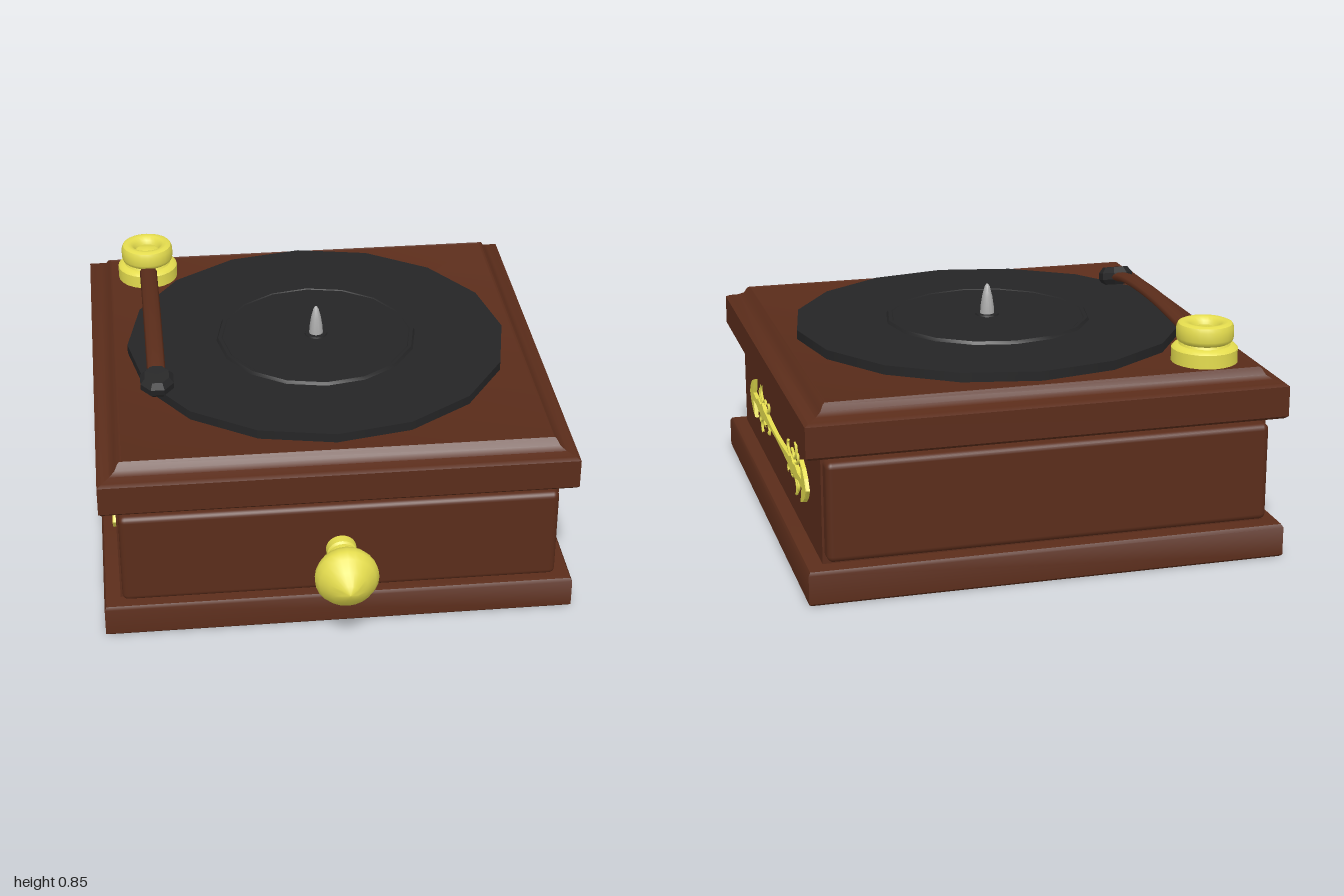
import * as THREE from 'three';
import { toCreasedNormals } from 'three/addons/utils/BufferGeometryUtils.js';
import { RoundedBoxGeometry } from 'three/addons/geometries/RoundedBoxGeometry.js';

const ZC = -0.145; // centre of the cabinet in z

const material = (color) => new THREE.MeshStandardMaterial({ color });
const wood = material(0x5a2c1a);
const brass = material(0xe4dc4e);
const vinyl = material(0x252526);
const steel = material(0xaaaaaa);

const vec2 = (list) => list.map(([x, y]) => new THREE.Vector2(x, y));
const vec3 = (list) => list.map((p) => new THREE.Vector3(...p));

function add(parent, name, geometry, mat, x = 0, y = 0, z = 0) {
  const mesh = new THREE.Mesh(geometry, mat);
  mesh.name = name;
  mesh.position.set(x, y, z);
  parent.add(mesh);
  return mesh;
}

// Turned part, with hard edges where the profile bends sharply
function turned(profile, sides = 24, crease = 0.7) {
  return toCreasedNormals(new THREE.LatheGeometry(vec2(profile), sides), crease);
}

// Square moulding: the profile is [half width, height], from bottom to top
function moulding(profile) {
  const points = vec2(profile.map(([w, y]) => [w * Math.SQRT2, y]));
  return toCreasedNormals(new THREE.LatheGeometry(points, 4).rotateY(Math.PI / 4), 0.6);
}

// Flat double-headed arrow with curled tendrils, lying in the xy plane
function makeOrnament() {
  const group = new THREE.Group();
  group.name = 'sideOrnament';
  const quarter = [[0, 0.006], [0.12, 0.009], [0.2, 0.015], [0.27, 0.019], [0.31, 0.034],
    [0.345, 0.018], [0.39, 0.024], [0.44, 0.012], [0.51, 0.015], [0.5, 0.04],
    [0.485, 0.077], [0.53, 0.06], [0.565, 0.035]];
  const right = [...quarter, [0.592, 0], ...quarter.slice(1).reverse().map(([u, v]) => [u, -v])];
  const left = right.map(([u, v]) => [-u, -v]);
  const shape = new THREE.Shape(vec2([...right, ...left]));
  const plate = new THREE.ExtrudeGeometry(shape, {
    depth: 0.014, bevelEnabled: true, bevelSize: 0.002, bevelThickness: 0.004, bevelSegments: 1,
  });
  add(group, 'arrowPlate', plate.translate(0, 0, -0.007), brass);

  const tendrils = [
    [[0.27, 0.015], [0.225, 0.02], [0.2, 0.04], [0.205, 0.058], [0.222, 0.055]],
    [[0.29, 0.02], [0.34, 0.035], [0.37, 0.06], [0.368, 0.085], [0.35, 0.097]],
    [[0.34, 0.015], [0.385, 0.03], [0.405, 0.05], [0.395, 0.066], [0.378, 0.06]],
    [[0.33, 0.02], [0.305, 0.045], [0.28, 0.05], [0.265, 0.04]],
  ];
  for (const sx of [-1, 1]) for (const sy of [-1, 1]) for (const t of tendrils) {
    const path = new THREE.CatmullRomCurve3(vec3(t.map(([u, v]) => [u * sx, v * sy, 0])));
    add(group, 'tendril', new THREE.TubeGeometry(path, 12, 0.006, 6), brass);
  }
  return group;
}

export function createModel() {
  const model = new THREE.Group();
  model.name = 'recordPlayer';

  // Cabinet
  const cabinet = new THREE.Group();
  cabinet.name = 'cabinet';
  model.add(cabinet);
  add(cabinet, 'plinth', moulding([[0, 0], [0.847, 0], [0.855, 0.008], [0.855, 0.11],
    [0.848, 0.122], [0.835, 0.126], [0, 0.126]]), wood, 0, 0, ZC);
  add(cabinet, 'body', new THREE.BoxGeometry(1.59, 0.44, 1.59), wood, 0, 0.325, ZC);
  add(cabinet, 'lid', moulding([[0, 0.517], [0.845, 0.517], [0.855, 0.527], [0.855, 0.635],
    [0.84, 0.643], [0.81, 0.652], [0.79, 0.664], [0.779, 0.685], [0.772, 0.69],
    [0.765, 0.686], [0, 0.686]]), wood, 0, 0, ZC);
  for (const side of [1, -1]) {
    const name = side > 0 ? 'frontPanel' : 'backPanel';
    add(cabinet, name, new RoundedBoxGeometry(1.575, 0.355, 0.1, 3, 0.022), wood,
      0, 0.325, ZC + side * 0.804);
  }

  // Brass inlays on both flanks
  for (const side of [1, -1]) {
    const ornament = makeOrnament();
    ornament.position.set(side * 0.799, 0.315, ZC);
    ornament.rotation.y = side * Math.PI / 2;
    model.add(ornament);
  }

  // Front knob, turned along z
  const knob = add(model, 'frontKnob', turned([[0, 0], [0.055, 0], [0.055, 0.04], [0.043, 0.05],
    [0.055, 0.058], [0.057, 0.085], [0.053, 0.1], [0.075, 0.115], [0.1, 0.138], [0.112, 0.165],
    [0.114, 0.19], [0.1, 0.215], [0.068, 0.25], [0.03, 0.28], [0, 0.295]]),
  brass, 0, 0.323, 0.705);
  knob.rotation.x = Math.PI / 2;

  // Platter, label and spindle
  add(model, 'record', new THREE.CylinderGeometry(0.72, 0.72, 0.036, 16), vinyl, 0, 0.702, ZC);
  add(model, 'label', turned([[0.385, 0.715], [0.375, 0.731], [0.362, 0.731], [0.358, 0.728],
    [0, 0.728]], 16, 0.5), vinyl, 0, 0, ZC);
  add(model, 'spindleCollar', turned([[0.045, 0.725], [0.042, 0.734], [0.026, 0.734]], 16),
    vinyl, 0, 0, ZC);
  add(model, 'spindle', turned([[0.027, 0.725], [0.025, 0.76], [0.019, 0.8], [0.01, 0.835],
    [0.004, 0.845], [0, 0.847]], 16), steel, 0, 0, ZC);

  // Tonearm pivot with a dished top
  const armX = -0.62;
  add(model, 'armPivot', turned([[0.118, 0.68], [0.118, 0.735], [0.108, 0.745], [0.092, 0.748],
    [0.088, 0.756], [0.098, 0.763], [0.102, 0.775], [0.102, 0.81], [0.096, 0.824], [0.082, 0.83],
    [0.066, 0.828], [0.052, 0.816], [0.046, 0.8], [0.036, 0.806], [0, 0.808]]),
  brass, armX, 0, -0.778);

  // Flattened, gently arched arm
  const armPath = new THREE.CatmullRomCurve3(vec3([[0, 1.48, -0.74], [0, 1.515, -0.6],
    [0, 1.56, -0.35], [0, 1.57, -0.15], [0, 1.55, 0.05], [0, 1.5, 0.18]]));
  const arm = add(model, 'tonearm', new THREE.TubeGeometry(armPath, 24, 0.034, 10), wood, armX);
  arm.scale.y = 0.5;

  // Faceted pickup head
  const head = add(model, 'pickupHead', turned([[0, -0.034], [0.05, -0.034], [0.066, -0.014],
    [0.066, 0.012], [0.048, 0.034], [0, 0.034]], 8, 0.3), vinyl, armX, 0.751, 0.19);
  head.rotation.order = 'XYZ';
  head.rotation.set(0.25, Math.PI / 8, 0);

  return model;
}
